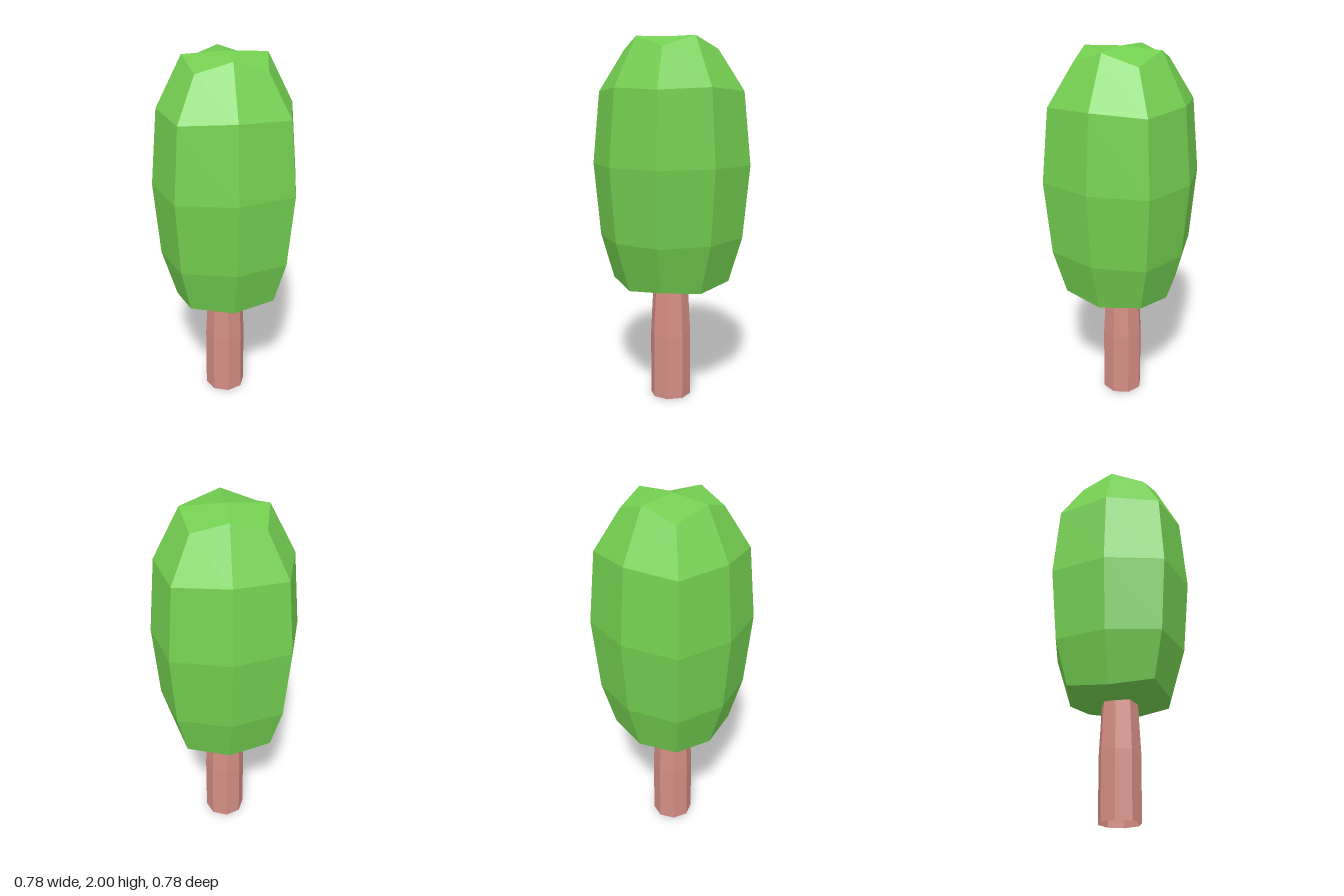
import * as THREE from 'three';

const leafGreen = new THREE.MeshStandardMaterial({ color: 0x74d051 });
const barkPink = new THREE.MeshStandardMaterial({ color: 0xd48e84, side: THREE.DoubleSide });

// Eight-sided ring: even points on the axes, odd points on the corners
function ring([axis, axisY, corner, cornerY]) {
  const points = [];
  for (let i = 0; i < 8; i++) {
    const a = (i * Math.PI) / 4;
    const odd = i % 2 === 1;
    const r = odd ? corner * Math.SQRT2 : axis;
    points.push(new THREE.Vector3(Math.sin(a) * r, odd ? cornerY : axisY, Math.cos(a) * r));
  }
  return points;
}

// Faceted surface with one normal per quad
function quadGeometry(quads) {
  const positions = [], normals = [];
  for (const [a, b, c, d] of quads) {
    const n = c.clone().sub(a).cross(d.clone().sub(b)).normalize();
    for (const p of [a, b, d, b, c, d]) {
      positions.push(p.x, p.y, p.z);
      normals.push(n.x, n.y, n.z);
    }
  }
  const geometry = new THREE.BufferGeometry();
  geometry.setAttribute('position', new THREE.Float32BufferAttribute(positions, 3));
  geometry.setAttribute('normal', new THREE.Float32BufferAttribute(normals, 3));
  return geometry;
}

// Side walls between successive rings
function walls(rings) {
  const quads = [];
  for (let k = 0; k < rings.length - 1; k++) {
    for (let i = 0; i < 8; i++) {
      const j = (i + 1) % 8;
      quads.push([rings[k][i], rings[k][j], rings[k + 1][j], rings[k + 1][i]]);
    }
  }
  return quads;
}

export function createModel() {
  const model = new THREE.Group();
  model.name = 'tree';

  // Crown: rounded square block, [axis radius, height, corner offset, height]
  const rings = [
    [0.275, 0.64, 0.23, 0.67],
    [0.357, 0.91, 0.282, 0.915],
    [0.392, 1.315, 0.309, 1.315],
    [0.357, 1.725, 0.282, 1.71],
    [0.221, 1.99, 0.182, 1.93],
  ].map(ring);
  const quads = walls(rings);
  const base = rings[0], top = rings[4];
  const baseCentre = new THREE.Vector3(0, 0.61, 0);
  const topCentre = new THREE.Vector3(0, 2, 0);
  for (let i = 0; i < 8; i += 2) {
    const j = i + 1, k = (i + 2) % 8;
    quads.push([top[i], top[j], top[k], topCentre]);
    quads.push([base[k], base[j], base[i], baseCentre]);
  }
  const crown = new THREE.Mesh(quadGeometry(quads), leafGreen);
  crown.name = 'crown';

  // Trunk: open octagonal tube, tapering into the crown
  const trunkRings = [[0.113, 0], [0.113, 0.36], [0.096, 0.68]]
    .map(([r, y]) => ring([r, y, r * Math.SQRT1_2, y]));
  const trunk = new THREE.Mesh(quadGeometry(walls(trunkRings)), barkPink);
  trunk.name = 'trunk';

  model.add(crown, trunk);
  return model;
}
